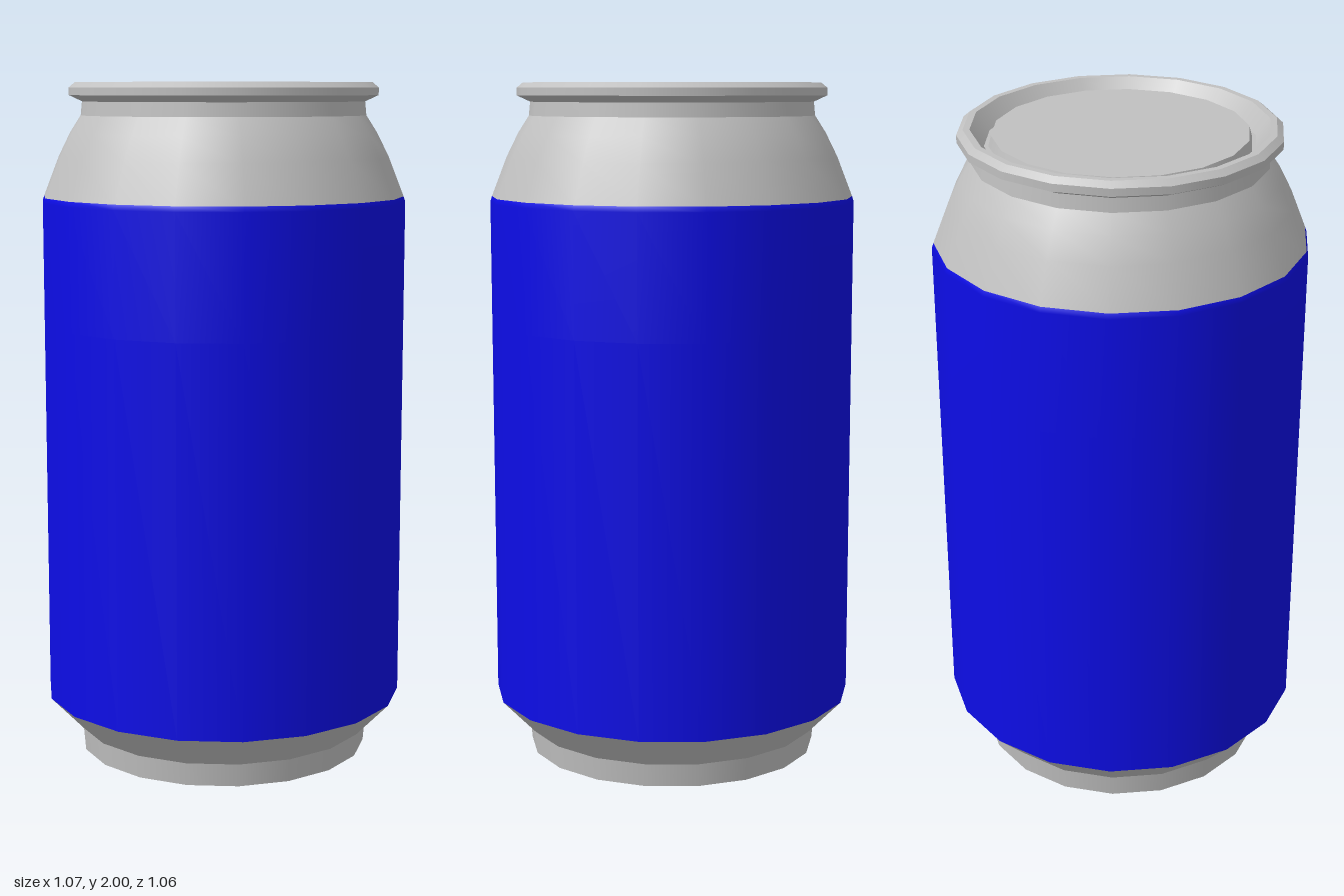
import * as THREE from 'three';

const SIDES = 18;

// Revolve a bottom-to-top [radius, height] profile; corners of the polygon lie on the x axis.
function turned(profile) {
  const pts = profile.map(([r, y]) => new THREE.Vector2(r, y));
  return new THREE.LatheGeometry(pts, SIDES, Math.PI / 2);
}

export function createModel() {
  const can = new THREE.Group();
  can.name = 'drinkCan';
  const metal = new THREE.MeshStandardMaterial({ color: 0xc0c0c0 });
  metal.name = 'bare metal';
  const paint = new THREE.MeshStandardMaterial({ color: 0x0f0ffa });
  paint.name = 'blue paint';

  const add = (name, geometry, material) => {
    const mesh = new THREE.Mesh(geometry, material);
    mesh.name = name;
    can.add(mesh);
  };

  // Body: painted wall and bare shoulder share smooth normals, so one lathe with two materials
  const wall = [[0.537, 0.17], [0.537, 1.3], [0.537, 1.655], [0.532, 1.67]];
  const shoulder = [[0.487, 1.785], [0.452, 1.855], [0.42, 1.905]];
  const body = turned([...wall, ...shoulder]);
  const wallBands = wall.length - 1;
  const bands = wallBands + shoulder.length;
  for (let i = 0; i < SIDES; i++) {
    const start = i * bands * 6;
    body.addGroup(start, wallBands * 6, 0);
    body.addGroup(start + wallBands * 6, shoulder.length * 6, 1);
  }
  add('bodyAndShoulder', body, [paint, metal]);

  // Bare metal bands, each separate so that the edges between them stay sharp
  const metalBands = {
    bottomPanel: [[0, 0.015], [0.408, 0.015]],
    bottomRecess: [[0.408, 0.015], [0.433, 0]],
    foot: [[0.433, 0], [0.439, 0.068]],
    bottomTaper: [[0.439, 0.068], [0.537, 0.17]],
    neck: [[0.42, 1.905], [0.416, 1.945]],
    rimUnderside: [[0.416, 1.945], [0.455, 1.963]],
    rimSide: [[0.455, 1.963], [0.455, 1.985]],
    rimBevel: [[0.455, 1.985], [0.437, 2]],
    rimTop: [[0.437, 2], [0.418, 2]],
    rimInside: [[0.418, 2], [0.38, 1.95]],
    lidGroove: [[0.38, 1.95], [0.368, 1.95]],
    lidStep: [[0.368, 1.95], [0.36, 1.98]],
    lidPanel: [[0.36, 1.98], [0, 1.98]],
  };
  for (const [name, profile] of Object.entries(metalBands)) add(name, turned(profile), metal);

  return can;
}
